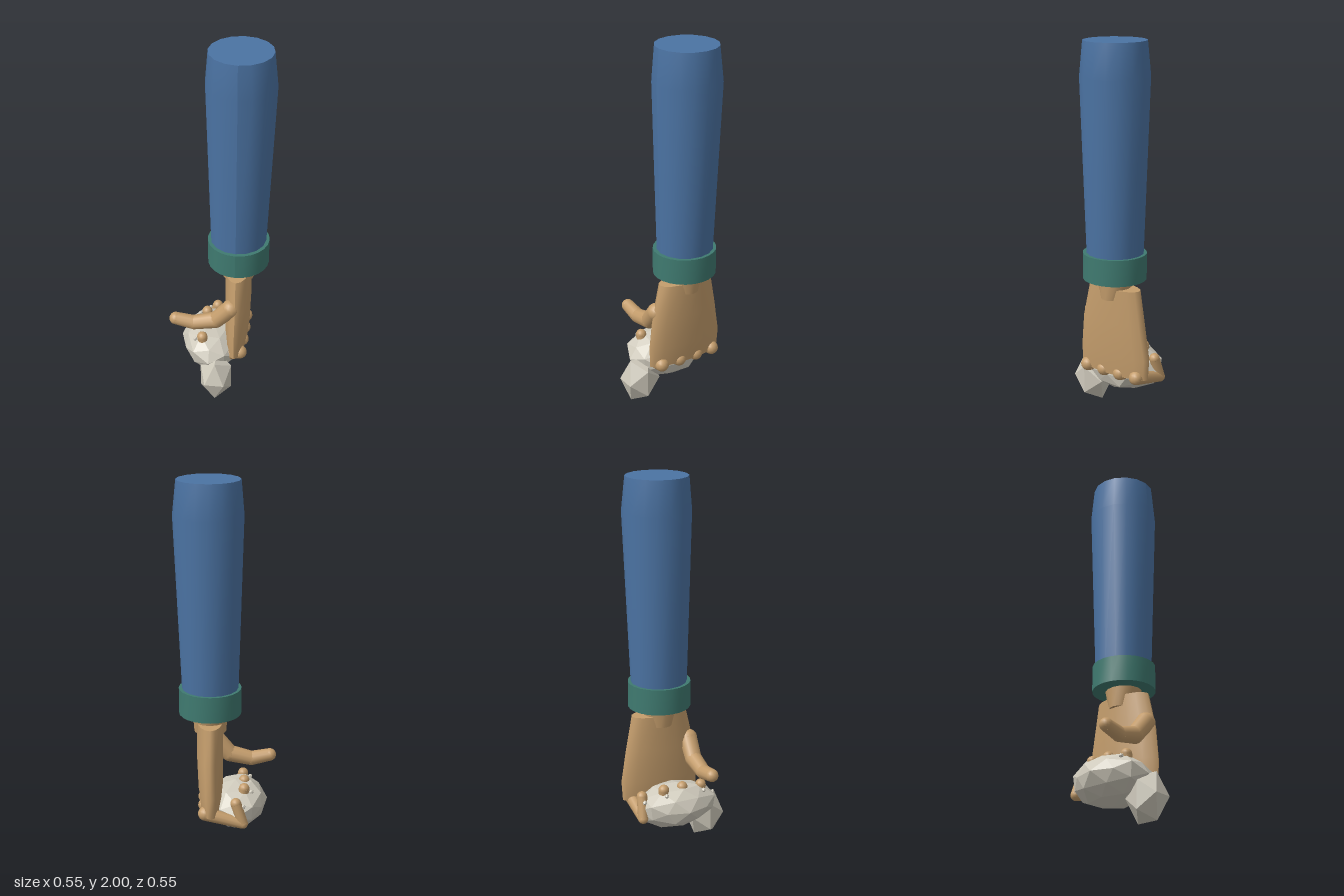
import * as THREE from 'three';

const mat = (name, color) => Object.assign(new THREE.MeshStandardMaterial({ color }), { name });

export function createModel() {
  const model = new THREE.Group();
  model.name = 'handWithRocks';
  const sleeveBlue = mat('sleeveBlue', 0x4b73a3);
  const cuffGreen = mat('cuffGreen', 0x3f7a70);
  const skin = mat('skin', 0xc49d6c);
  const stone = mat('stone', 0xcfcabc);
  stone.flatShading = true;

  const add = (name, geometry, material, parent = model) => {
    const mesh = new THREE.Mesh(geometry, material);
    mesh.name = name;
    parent.add(mesh);
    return mesh;
  };

  // Closed loft through elliptical sections [y, centreX, radiusX, centreZ, radiusZ], top first
  const loft = (sections, sides = 16) => {
    const n = sections.length - 1;
    const geo = new THREE.CylinderGeometry(1, 1, 1, sides, n);
    const p = geo.attributes.position;
    for (let i = 0; i < p.count; i++) {
      const [y, cx, rx, cz, rz] = sections[Math.round((0.5 - p.getY(i)) * n)];
      p.setXYZ(i, cx + p.getX(i) * rx, y, cz + p.getZ(i) * rz);
    }
    geo.computeVertexNormals();
    return geo;
  };

  // Tapered digit: cylinders between the points, balls on the joints
  const digit = (name, points, radii) => {
    const group = new THREE.Group();
    group.name = name;
    const pts = points.map((p) => new THREE.Vector3(...p));
    pts.forEach((p, i) => {
      if (i > 0) {
        const dir = p.clone().sub(pts[i - 1]);
        const bone = add('segment', new THREE.CylinderGeometry(radii[i], radii[i - 1], dir.length(), 12), skin, group);
        bone.position.copy(p).add(pts[i - 1]).multiplyScalar(0.5);
        bone.quaternion.setFromUnitVectors(new THREE.Vector3(0, 1, 0), dir.normalize());
      }
      add('joint', new THREE.SphereGeometry(radii[i], 14, 10), skin, group).position.copy(p);
    });
    model.add(group);
    return group;
  };

  // Sleeve and cuff
  add('sleeve', loft([
    [2, 0.088, 0.164, -0.053, 0.164],
    [1.82, 0.09, 0.181, -0.055, 0.181],
    [0.88, 0.084, 0.148, -0.05, 0.15],
  ]), sleeveBlue);
  add('cuff', loft([
    [0.905, 0.085, 0.165, -0.048, 0.169],
    [0.765, 0.085, 0.165, -0.048, 0.169],
  ], 24), cuffGreen);

  // Wrist and palm
  add('wrist', loft([
    [0.8, 0.085, 0.095, -0.05, 0.11],
    [0.66, 0.085, 0.085, -0.05, 0.07],
  ]), skin);
  add('palm', loft([
    [0.72, 0.086, 0.069, -0.05, 0.16],
    [0.53, 0.088, 0.07, -0.045, 0.2],
    [0.35, 0.085, 0.066, -0.05, 0.225],
    [0.24, 0.085, 0.054, -0.048, 0.22],
  ]), skin);

  // Thumb reaching out over the rock
  digit('thumb',
    [[0.06, 0.55, 0.115], [-0.02, 0.46, 0.108], [-0.14, 0.43, 0.107], [-0.242, 0.45, 0.108]],
    [0.05, 0.046, 0.04, 0.035]);

  // Four fingers curling under the rock, each with a small chip by its tip
  const fingers = [
    // z, bend x, tip x, tip y
    [0.115, -0.08, -0.095, 0.338],
    [0.003, -0.08, -0.098, 0.345],
    [-0.105, -0.08, -0.095, 0.345],
    [-0.212, -0.085, -0.048, 0.308],
  ];
  fingers.forEach(([z, bendX, tipX, tipY]) => {
    const bendZ = z < -0.2 ? -0.222 : z * 0.95;
    digit('finger',
      [[0.115, 0.25, z], [bendX, 0.195, bendZ], [tipX, tipY, z]],
      [0.038, 0.028, 0.029]);
    const chip = add('chip', new THREE.IcosahedronGeometry(0.013, 0), stone);
    chip.position.set(tipX - 0.04, tipY - 0.02, z);
  });

  // Large rock: faceted ball with uneven corners
  const rockGeo = new THREE.IcosahedronGeometry(1, 1);
  const p = rockGeo.attributes.position;
  for (let i = 0; i < p.count; i++) {
    const [x, y, z] = [p.getX(i), p.getY(i), p.getZ(i)];
    const k = 1 + 0.05 * Math.sin(5 * x + 3 * y) * Math.cos(4 * z - 2 * y);
    p.setXYZ(i, x * k * 0.166, (y * k - 0.12 * x) * 0.125, z * k * 0.225);
  }
  rockGeo.computeVertexNormals();
  add('largeRock', rockGeo, stone).position.set(-0.05, 0.23, -0.008);

  // Small rock touching the ground
  const smallGeo = new THREE.IcosahedronGeometry(0.1, 0);
  smallGeo.rotateY(Math.PI / 2);
  smallGeo.scale(1, 1.44, 1.12);
  smallGeo.computeBoundingBox();
  add('smallRock', smallGeo, stone).position.set(-0.012, -smallGeo.boundingBox.min.y, 0.178);

  return model;
}
